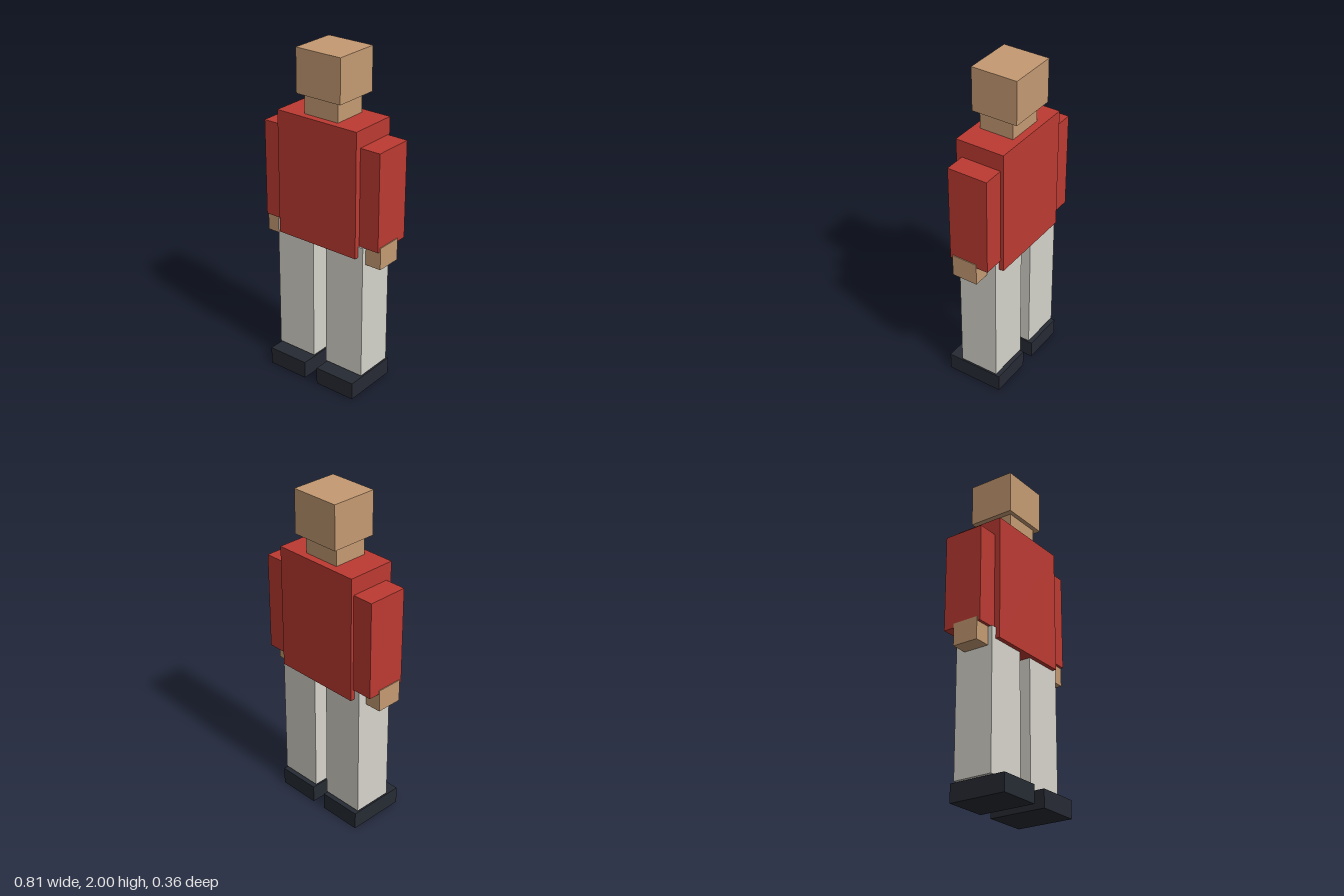
import * as THREE from 'three';

const material = (color) => new THREE.MeshStandardMaterial({ color, flatShading: true });

export function createModel() {
  const group = new THREE.Group();
  const skin = material(0xc49a72);
  const shirt = material(0xbc3a32);
  const trousers = material(0xd6d4cb);
  const leather = material(0x262a33);

  // Box given by its [min, max] extent on each axis
  function block(name, mat, [x0, x1], [y0, y1], [z0, z1]) {
    const mesh = new THREE.Mesh(new THREE.BoxGeometry(x1 - x0, y1 - y0, z1 - z0), mat);
    mesh.position.set((x0 + x1) / 2, (y0 + y1) / 2, (z0 + z1) / 2);
    mesh.name = name;
    group.add(mesh);
  }

  // Left and right copies of a block
  function pair(name, mat, [x0, x1], y, z) {
    block('left' + name, mat, [x0, x1], y, z);
    block('right' + name, mat, [-x1, -x0], y, z);
  }

  // Head, neck and torso
  block('head', skin, [-0.15, 0.15], [1.742, 2], [-0.18, 0.1]);
  block('neck', skin, [-0.115, 0.115], [1.6, 1.742], [-0.135, 0.075]);
  block('torso', shirt, [-0.272, 0.272], [0.88, 1.627], [-0.18, 0.118]);

  // Arms and hands
  pair('Arm', shirt, [0.272, 0.4], [0.945, 1.527], [-0.163, 0.082]);
  pair('Hand', skin, [0.285, 0.405], [0.835, 0.968], [-0.093, 0.065]);

  // Legs stop just above the shoes
  pair('Leg', trousers, [0.046, 0.305], [0.115, 0.946], [-0.15, 0.092]);
  pair('Shoe', leather, [0.045, 0.307], [0, 0.106], [-0.172, 0.179]);

  return group;
}
